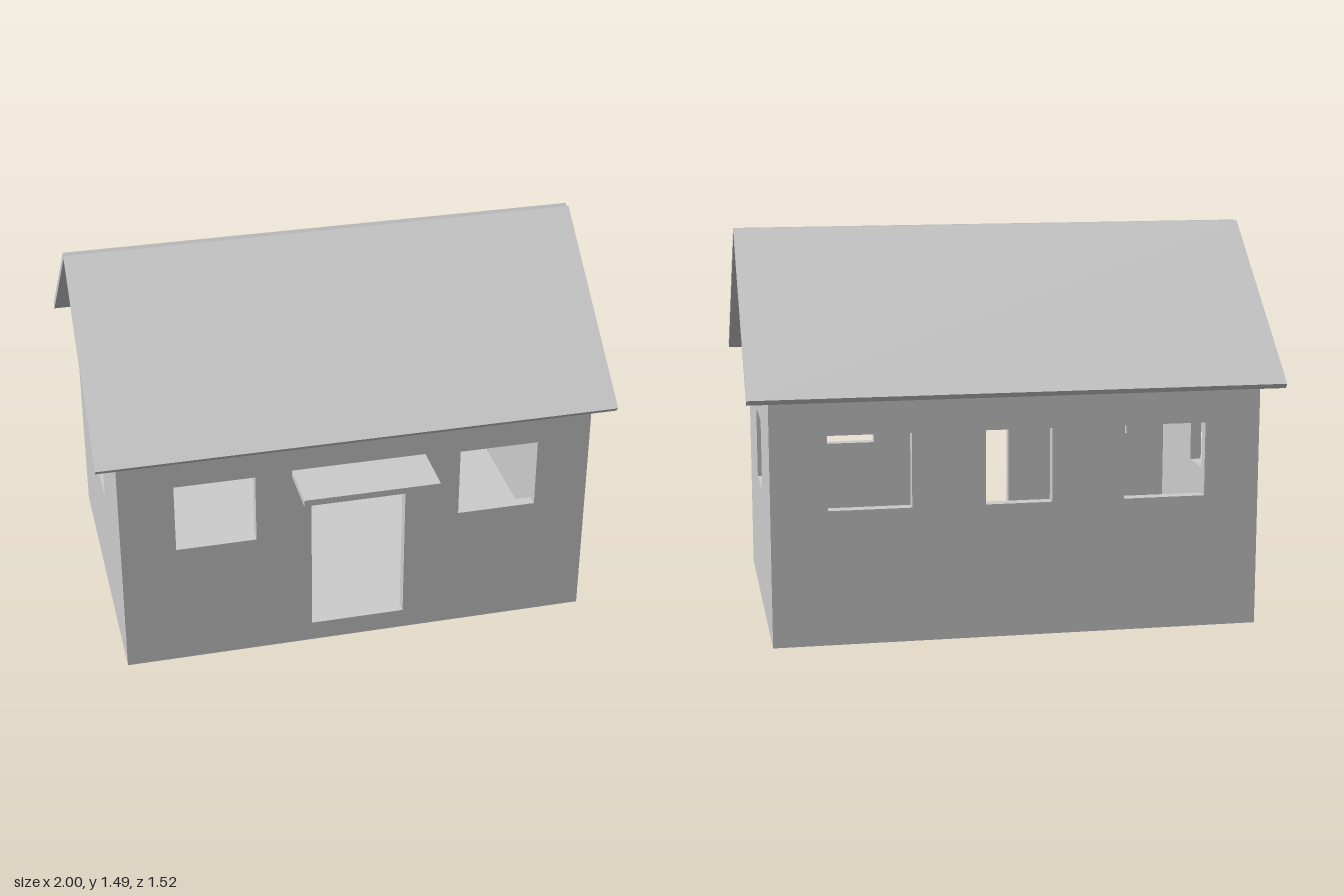
import * as THREE from 'three';

const plaster = new THREE.MeshStandardMaterial({ color: 0xcccccc });
plaster.name = 'pale grey';

const WALL = 0.045;                // wall thickness
const HALF = 0.92;                 // half width of the house
const FRONT = 0.545, BACK = -0.685;
const FLOOR = 0.08, EAVE = 0.955;
const RIDGE = -0.073;              // z of the roof ridge

// Flat panel in the XY plane with rectangular holes [x0, y0, x1, y1], extruded along +z
function panel(name, outline, holes, depth) {
  const toPoints = (list) => list.map(([x, y]) => new THREE.Vector2(x, y));
  const shape = new THREE.Shape(toPoints(outline));
  for (const [x0, y0, x1, y1] of holes) {
    shape.holes.push(new THREE.Path(toPoints([[x0, y0], [x0, y1], [x1, y1], [x1, y0]])));
  }
  const mesh = new THREE.Mesh(new THREE.ExtrudeGeometry(shape, { depth, bevelEnabled: false }), plaster);
  mesh.name = name;
  return mesh;
}

// Box given by its two extreme corners
function block(name, [x0, y0, z0], [x1, y1, z1]) {
  const mesh = new THREE.Mesh(new THREE.BoxGeometry(x1 - x0, y1 - y0, z1 - z0), plaster);
  mesh.position.set((x0 + x1) / 2, (y0 + y1) / 2, (z0 + z1) / 2);
  mesh.name = name;
  return mesh;
}

export function createModel() {
  const house = new THREE.Group();
  house.name = 'house';

  house.add(block('floorSlab', [-HALF, 0, BACK], [HALF, FLOOR, FRONT]));

  // Front wall: the doorway is a notch in the outline
  const sideWindows = [[-0.71, 0.51, -0.4, 0.79], [0.4, 0.51, 0.71, 0.79]];
  const frontWall = panel('frontWall', [
    [-HALF, FLOOR], [-0.185, FLOOR], [-0.185, 0.695], [0.185, 0.695], [0.185, FLOOR],
    [HALF, FLOOR], [HALF, EAVE], [-HALF, EAVE],
  ], sideWindows, WALL);
  frontWall.position.z = FRONT - WALL;
  house.add(frontWall);

  // Back wall with three windows
  const backWall = panel('backWall', [
    [-HALF, FLOOR], [HALF, FLOOR], [HALF, EAVE], [-HALF, EAVE],
  ], [...sideWindows, [-0.125, 0.51, 0.125, 0.79]], WALL);
  backWall.position.z = BACK;
  house.add(backWall);

  // Gable walls, drawn with shape x = -z, then turned to face sideways
  const gable = [
    [-(FRONT - WALL), FLOOR], [-(BACK + WALL), FLOOR], [-(BACK + WALL), 1.0],
    [-RIDGE, 1.467], [-(FRONT - WALL), 1.0],
  ];
  for (const [name, x] of [['leftGableWall', HALF - WALL], ['rightGableWall', -HALF]]) {
    const wall = panel(name, gable, [[-0.07, 0.48, 0.21, 0.76]], WALL);
    wall.rotation.y = Math.PI / 2;
    wall.position.x = x;
    house.add(wall);
  }

  // Roof slabs: cross-section of one slope, mirrored about the ridge
  const slope = [[0.613, 0.941], [0.597, 0.922], [RIDGE, 1.469], [-0.057, 1.488]];
  for (const [name, side] of [['frontRoof', 1], ['backRoof', -1]]) {
    const section = slope.map(([z, y]) => [-(RIDGE + side * (z - RIDGE)), y]);
    const slab = panel(name, section, [], 2);
    slab.rotation.y = Math.PI / 2;
    slab.position.x = -1;
    house.add(slab);
  }

  // Canopy over the doorway
  house.add(block('doorCanopy', [-0.26, 0.775, FRONT], [0.26, 0.8, 0.758]));

  return house;
}
